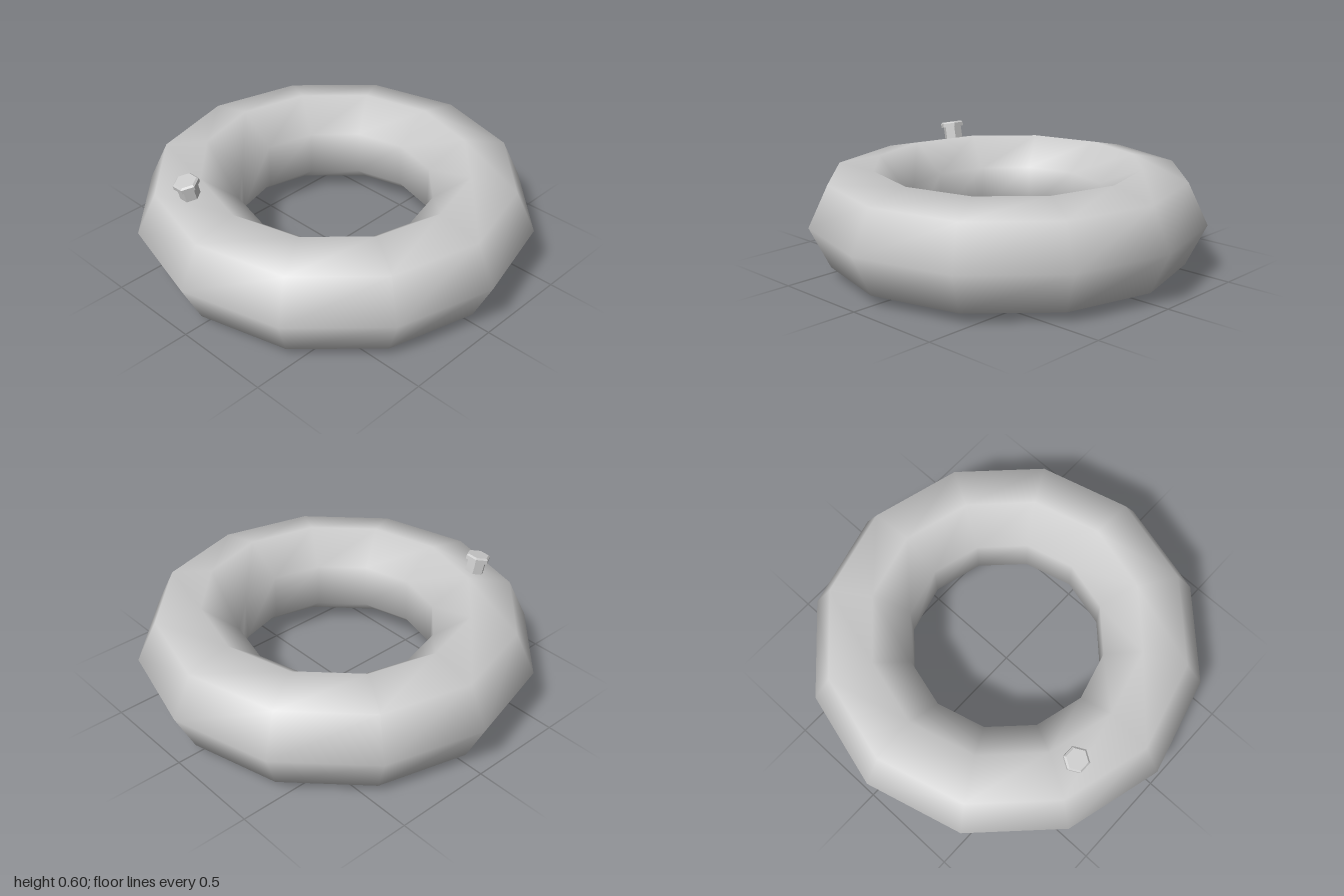
import * as THREE from 'three';

export function createModel() {
  const group = new THREE.Group();
  group.name = 'swimRing';

  // Inflated ring: seven-sided tube swept around twelve segments
  const ringGeo = new THREE.TorusGeometry(0.734, 0.266, 7, 12);
  ringGeo.rotateX(-Math.PI / 2);
  const ring = new THREE.Mesh(ringGeo, new THREE.MeshStandardMaterial({ color: 0xcccccc }));
  ring.name = 'ring';
  ring.position.y = 0.261;
  group.add(ring);

  // Valve: hexagonal stem and bevelled cap, leaning outward with the tube
  const valve = new THREE.Group();
  valve.name = 'valve';
  const flat = new THREE.MeshStandardMaterial({ color: 0xcccccc, flatShading: true });
  const hexPart = (name, rTop, rBottom, y0, y1) => {
    const geo = new THREE.CylinderGeometry(rTop, rBottom, y1 - y0, 6, 1, false, Math.PI / 6);
    const mesh = new THREE.Mesh(geo, flat);
    mesh.name = name;
    mesh.position.y = (y0 + y1) / 2;
    valve.add(mesh);
  };
  hexPart('valveStem', 0.05, 0.05, -0.01, 0.074);
  hexPart('valveCap', 0.064, 0.064, 0.074, 0.094);
  hexPart('valveCapBevel', 0.054, 0.064, 0.094, 0.102);
  valve.position.set(-0.286, 0.49, 0.687);
  valve.rotation.set(0.22, 0, 0.04);
  group.add(valve);

  return group;
}
